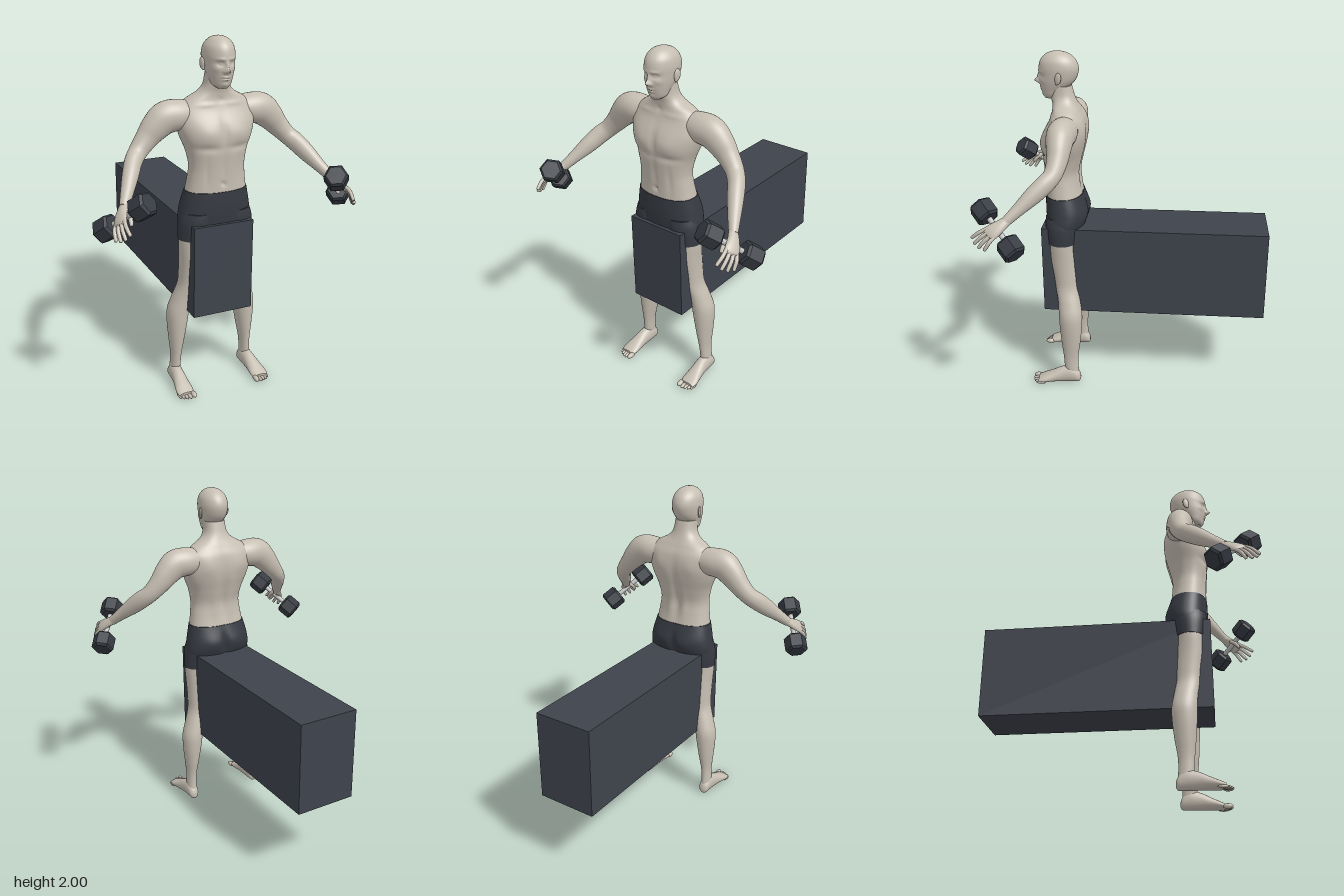
import * as THREE from 'three';

const V = (x, y, z) => new THREE.Vector3(x, y, z);
const X = V(1, 0, 0), Y = V(0, 1, 0), Z = V(0, 0, 1);
const mat = (name, color) => {
  const m = new THREE.MeshStandardMaterial({ color });
  m.name = name;
  return m;
};

// Smooth interpolation through rows of numbers
function sampleRow(rows, t) {
  const i = Math.min(Math.floor(t), rows.length - 2), f = t - i;
  const at = k => rows[Math.max(0, Math.min(rows.length - 1, k))];
  return rows[0].map((_, c) => {
    const [p, q, r, s] = [at(i - 1)[c], at(i)[c], at(i + 1)[c], at(i + 2)[c]];
    return q + 0.5 * f * (r - p + f * (2 * p - 5 * q + 4 * r - s + f * (3 * (q - r) + s - p)));
  });
}

// Skin through oval rings [x, y, z, half width, half depth]; ref is the width direction
function loft(rows, { ref = X, axis, seg = 32, steps = 5, power = 2, sculpt } = {}) {
  const n = (rows.length - 1) * steps, pos = [], idx = [];
  const sq = v => Math.sign(v) * Math.abs(v) ** (2 / power);
  for (let i = 0; i <= n; i++) {
    const [x, y, z, a, b] = sampleRow(rows, i / steps);
    const p0 = sampleRow(rows, Math.max(0, i - 1) / steps), p1 = sampleRow(rows, Math.min(n, i + 1) / steps);
    const T = axis || V(p1[0] - p0[0], p1[1] - p0[1], p1[2] - p0[2]).normalize();
    const A = ref.clone().addScaledVector(T, -ref.dot(T)).normalize();
    const B = T.clone().cross(A);
    for (let j = 0; j < seg; j++) {
      const q = j / seg * Math.PI * 2;
      const p = V(x, y, z).addScaledVector(A, a * sq(Math.cos(q))).addScaledVector(B, b * sq(Math.sin(q)));
      if (sculpt) sculpt(p);
      pos.push(p.x, p.y, p.z);
      const k = (j + 1) % seg, o = i * seg;
      if (i < n) idx.push(o + j, o + k, o + seg + j, o + k, o + seg + k, o + seg + j);
    }
  }
  // End caps with their own corners keep the hems crisp
  for (const [row, start] of [[rows[0], 0], [rows[rows.length - 1], n * seg]]) {
    const o = pos.length / 3;
    pos.push(...pos.slice(start * 3, (start + seg) * 3), row[0], row[1], row[2]);
    for (let j = 0; j < seg; j++) {
      const k = (j + 1) % seg;
      idx.push(o + seg, ...(start ? [o + j, o + k] : [o + k, o + j]));
    }
  }
  const g = new THREE.BufferGeometry();
  g.setAttribute('position', new THREE.Float32BufferAttribute(pos, 3));
  g.setIndex(idx);
  g.computeVertexNormals();
  return g;
}

function mirror(geo) {
  const g = geo.clone().scale(-1, 1, 1), a = g.index.array;
  for (let i = 0; i < a.length; i += 3) [a[i], a[i + 1]] = [a[i + 1], a[i]];
  return g;
}

const ball = (x, y, z, a, b, c) => new THREE.SphereGeometry(1, 20, 14).scale(a, b, c).translate(x, y, z);

// Soft bump, mirrored in x: [x, y, spread x, spread y, amount in z]
const bump = (p, list) => list.reduce((s, [x, y, sx, sy, k]) =>
  s + k * Math.exp(-(((Math.abs(p.x) - x) / sx) ** 2) - ((p.y - y) / sy) ** 2), 0);
const clamp = v => Math.max(0, Math.min(1, v));

const chest = [[0.09, 1.5, 0.07, 0.05, 0.01], [0, 1.51, 0.016, 0.08, -0.01], [0.09, 1.425, 0.07, 0.018, -0.008],
  [0, 1.31, 0.012, 0.09, -0.006], [0, 1.225, 0.01, 0.012, -0.012], [0.09, 1.28, 0.014, 0.09, -0.005],
  [0.1, 1.65, 0.07, 0.012, 0.006], [0, 1.67, 0.014, 0.016, -0.008]];
const back = [[0, 1.4, 0.024, 0.17, 0.014], [0.11, 1.56, 0.05, 0.06, -0.008], [0.05, 1.3, 0.025, 0.09, -0.006],
  [0.085, 1.06, 0.06, 0.06, -0.008], [0, 1.05, 0.018, 0.07, 0.022]];
const sculptTorso = p => {
  p.z += clamp((p.z - 0.4) / 0.06) * bump(p, chest) + clamp((0.36 - p.z) / 0.06) * bump(p, back);
};
const face = [[0, 1.833, 0.013, 0.013, 0.026], [0, 1.858, 0.009, 0.022, 0.012], [0.014, 1.827, 0.007, 0.007, 0.007],
  [0.032, 1.868, 0.017, 0.012, -0.012], [0.031, 1.868, 0.009, 0.006, 0.006], [0.03, 1.891, 0.024, 0.008, 0.005],
  [0, 1.798, 0.02, 0.005, 0.007], [0, 1.785, 0.018, 0.005, 0.007], [0, 1.791, 0.022, 0.003, -0.005],
  [0, 1.757, 0.02, 0.012, 0.006], [0.05, 1.84, 0.015, 0.015, 0.004]];
const sculptFace = p => { p.z += clamp((p.z - 0.43) / 0.04) * bump(p, face); };

export function createModel() {
  const skin = mat('skin', 0xc6beb2), cloth = mat('shorts cloth', 0x363a41), pad = mat('bench pad', 0x3e434c);
  const iron = mat('dumbbell iron', 0x363b42), steel = mat('handle steel', 0xc0c0c0);
  const model = new THREE.Group();
  model.name = 'athleteAtBench';
  const add = (name, geo, m, parent = model) => {
    const mesh = new THREE.Mesh(geo, m);
    mesh.name = name;
    parent.add(mesh);
    return mesh;
  };
  const pair = (name, geo, m) => {
    add(name + 'Left', geo, m);
    add(name + 'Right', mirror(geo), m);
  };
  const fatter = rows => rows.map(([x, y, z, a, b]) => [x, y, z, a + 0.004, b + 0.004]);

  // Bench
  add('bench', new THREE.BoxGeometry(0.354, 0.53, 1.315).translate(0, 0.735, -0.1525), pad);

  // Torso, neck and shorts
  const trunk = [[0, 0.93, 0.385, 0.17, 0.085], [0, 1.0, 0.375, 0.205, 0.108], [0, 1.08, 0.37, 0.197, 0.119],
    [0, 1.18, 0.383, 0.174, 0.106], [0, 1.25, 0.39, 0.163, 0.1], [0, 1.32, 0.394, 0.157, 0.1],
    [0, 1.4, 0.387, 0.172, 0.114], [0, 1.48, 0.378, 0.203, 0.126], [0, 1.55, 0.368, 0.22, 0.122],
    [0, 1.62, 0.355, 0.215, 0.1], [0, 1.67, 0.358, 0.165, 0.08], [0, 1.71, 0.368, 0.098, 0.07],
    [0, 1.75, 0.38, 0.07, 0.067], [0, 1.81, 0.39, 0.064, 0.062]];
  add('torso', loft(trunk.slice(3), { axis: Y, seg: 96, steps: 8, power: 2.3, sculpt: sculptTorso }), skin);
  add('shortsSeat', loft(fatter(trunk.slice(0, 4)), { axis: Y, seg: 96, steps: 8, power: 2.3, sculpt: sculptTorso }), cloth);

  // Head and ears
  const skull = [[0, 1.737, 0.452, 0.026, 0.028], [0, 1.755, 0.44, 0.05, 0.048], [0, 1.79, 0.428, 0.063, 0.072],
    [0, 1.83, 0.41, 0.075, 0.098], [0, 1.87, 0.4, 0.081, 0.109], [0, 1.91, 0.398, 0.083, 0.112],
    [0, 1.95, 0.4, 0.075, 0.099], [0, 1.98, 0.402, 0.053, 0.07], [0, 1.994, 0.404, 0.029, 0.038], [0, 2, 0.405, 0.003, 0.004]];
  add('head', loft(skull, { axis: Y, seg: 112, steps: 9, sculpt: sculptFace }), skin);
  const ear = ball(0, 0, 0, 0.009, 0.033, 0.019).rotateX(-0.15).rotateY(-0.3).translate(0.086, 1.86, 0.39);
  pair('ear', ear, skin);
  pair('earLobe', ball(0.083, 1.836, 0.397, 0.007, 0.011, 0.009), skin);

  // Legs with shorts sleeves
  const leg = [[0.228, 0.04, 0.335, 0.03, 0.042], [0.226, 0.1, 0.342, 0.029, 0.042], [0.222, 0.18, 0.345, 0.031, 0.045],
    [0.217, 0.28, 0.343, 0.045, 0.058], [0.212, 0.38, 0.342, 0.058, 0.067], [0.205, 0.46, 0.343, 0.063, 0.07],
    [0.185, 0.54, 0.352, 0.057, 0.066], [0.162, 0.62, 0.366, 0.052, 0.066], [0.15, 0.7, 0.373, 0.059, 0.072],
    [0.135, 0.8, 0.383, 0.075, 0.081], [0.122, 0.905, 0.388, 0.094, 0.083], [0.112, 1.0, 0.385, 0.1, 0.098],
    [0.105, 1.06, 0.38, 0.09, 0.1]];
  pair('leg', loft(leg.slice(0, 12), { axis: Y }), skin);
  pair('shortsLeg', loft(fatter(leg.slice(10)), { axis: Y }), cloth);

  // Feet and toes
  const foot = [[0.228, 0.032, 0.287, 0.012, 0.014], [0.228, 0.04, 0.3, 0.029, 0.037], [0.228, 0.055, 0.34, 0.036, 0.054],
    [0.23, 0.05, 0.4, 0.038, 0.05], [0.234, 0.036, 0.46, 0.044, 0.036], [0.237, 0.024, 0.51, 0.05, 0.024],
    [0.237, 0.017, 0.545, 0.044, 0.014]];
  pair('foot', loft(foot, { axis: Z, sculpt: p => { p.y = Math.max(p.y, 0.003); } }), skin);
  [[0.2, 0.553, 0.015], [0.224, 0.554, 0.0105], [0.243, 0.549, 0.0095], [0.261, 0.541, 0.009], [0.277, 0.529, 0.0085]]
    .forEach(([x, z, r], i) => pair('toe' + (i + 1), ball(x, r, z, r, r, 0.03), skin));

  // Arms from inside the shoulder to the wrist
  const arm = [[0.12, 1.59, 0.35, 0.07, 0.07], [0.21, 1.592, 0.352, 0.083, 0.082], [0.28, 1.583, 0.355, 0.087, 0.077],
    [0.335, 1.54, 0.355, 0.077, 0.068], [0.385, 1.485, 0.357, 0.062, 0.057], [0.44, 1.425, 0.375, 0.051, 0.049],
    [0.48, 1.385, 0.413, 0.052, 0.046], [0.517, 1.335, 0.47, 0.048, 0.043], [0.56, 1.275, 0.538, 0.035, 0.034],
    [0.6, 1.22, 0.6, 0.027, 0.024]];
  pair('arm', loft(arm, { ref: Y }), skin);

  // Hands: the grip direction runs along the dumbbell
  const grip = V(0.506, -0.584, -0.634).normalize();
  const palm = [[0.594, 1.227, 0.592, 0.025, 0.022], [0.621, 1.203, 0.627, 0.034, 0.021], [0.64, 1.182, 0.66, 0.042, 0.018],
    [0.649, 1.168, 0.682, 0.041, 0.013], [0.652, 1.16, 0.69, 0.03, 0.006]];
  pair('palm', loft(palm, { ref: grip }), skin);
  const digit = (a, b, c, r) => {
    const end = c.clone().addScaledVector(c.clone().sub(b).normalize(), r * 0.7);
    return loft([[...a, r, r], [...b, r, r], [...c, r * 0.85, r * 0.85], [...end, r * 0.25, r * 0.25]], { ref: grip, seg: 12 });
  };
  [[-0.031, 0.95], [-0.01, 1.03], [0.011, 0.97], [0.031, 0.8]].forEach(([k, len], i) => {
    const base = V(0.645, 1.174, 0.672).addScaledVector(grip, k);
    const tip = base.clone().add(V(0.012, -0.066, 0.075).multiplyScalar(len)).addScaledVector(grip, k * 0.6);
    const mid = base.clone().lerp(tip, 0.5).add(V(0.007, 0.006, 0));
    pair('finger' + (i + 1), digit(base, mid, tip, 0.0105), skin);
  });
  pair('thumb', digit(V(0.61, 1.212, 0.625), V(0.592, 1.188, 0.66), V(0.594, 1.158, 0.688), 0.012), skin);

  // Hexagonal dumbbells
  const profile = [[0, -0.052], [0.053, -0.052], [0.066, -0.04], [0.066, 0.04], [0.053, 0.052], [0, 0.052]];
  const hex = new THREE.LatheGeometry(profile.map(([r, y]) => new THREE.Vector2(r, y)), 6).toNonIndexed();
  hex.computeVertexNormals();
  for (const s of [1, -1]) {
    const bell = new THREE.Group();
    bell.name = s > 0 ? 'dumbbellLeft' : 'dumbbellRight';
    add('handle', new THREE.CylinderGeometry(0.015, 0.015, 0.2, 20), steel, bell);
    for (const e of [1, -1]) add('weight', hex, iron, bell).position.y = e * 0.128;
    bell.position.set(s * 0.615, 1.18, 0.643);
    bell.quaternion.setFromUnitVectors(Y, V(-s * grip.x, -grip.y, -grip.z));
    model.add(bell);
  }
  return model;
}
